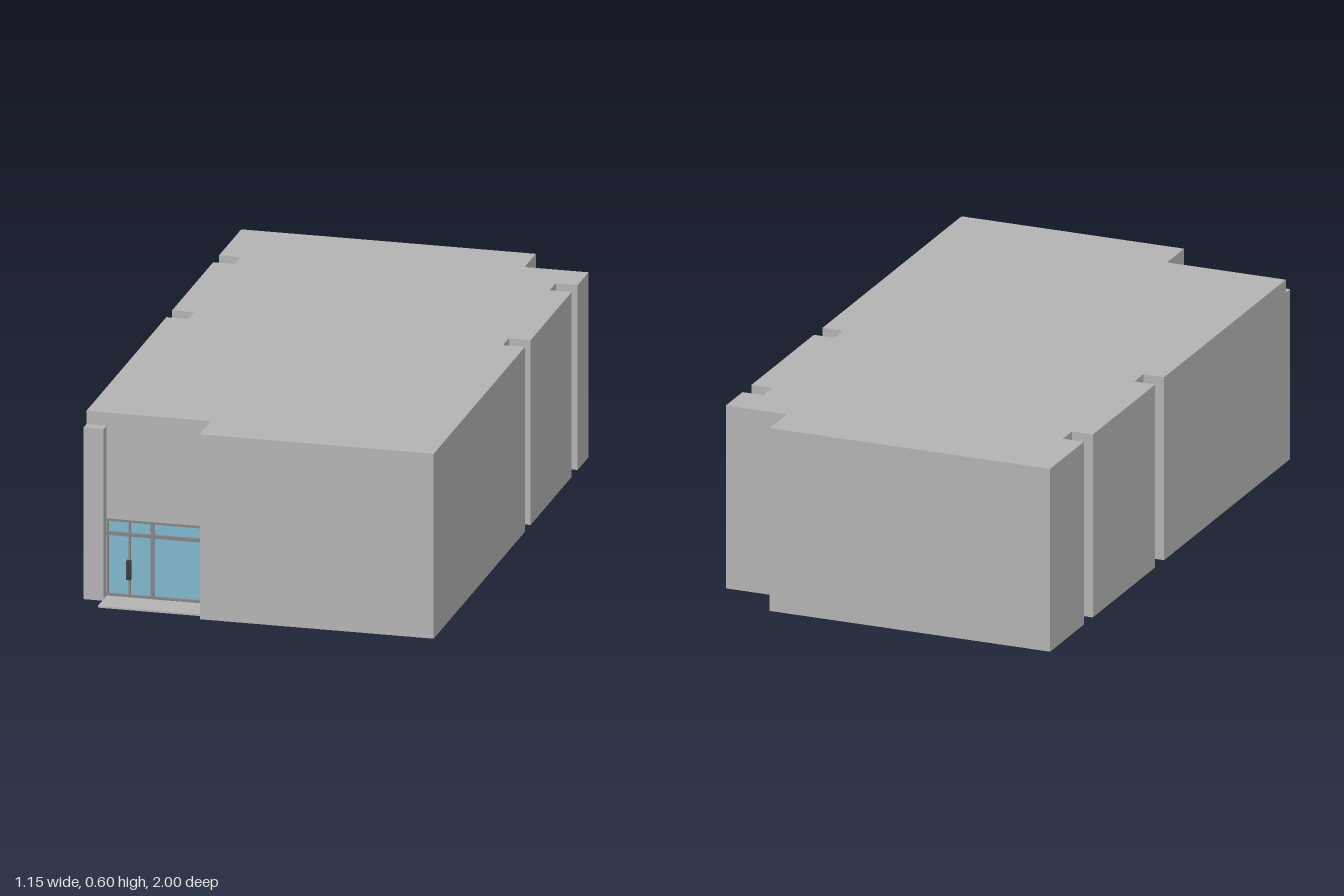
import * as THREE from 'three';

const HEIGHT = 0.603, WALL_TOP = 0.593, LINTEL = 0.258, THICK = 0.025;
const material = (name, color, side = THREE.FrontSide) => {
  const m = new THREE.MeshStandardMaterial({ color, side });
  m.name = name;
  return m;
};

// Plan of the building as [x, z], starting at the back left corner.
const OUTLINE = [
  [-0.575, -1], [0.37, -1], [0.37, -0.865], [0.575, -0.865],
  [0.575, -0.733], [0.505, -0.733], [0.505, -0.662], [0.575, -0.662],
  [0.575, -0.168], [0.505, -0.168], [0.505, -0.098], [0.575, -0.098],
  [0.575, 1], [-0.175, 1], [-0.175, 0.865], [-0.51, 0.865], [-0.575, 0.865],
  [-0.575, -0.098], [-0.505, -0.098], [-0.505, -0.168], [-0.575, -0.168],
  [-0.575, -0.662], [-0.505, -0.662], [-0.505, -0.733], [-0.575, -0.733],
];
const DOOR_EDGE = 14;

// Moves every corner of a right-angled plan inwards.
function inset(points, t) {
  const n = points.length;
  const normal = (i) => {
    const p = points[i], q = points[(i + 1) % n];
    return [-Math.sign(q[1] - p[1]), Math.sign(q[0] - p[0])];
  };
  return points.map(([x, z], i) => {
    const a = normal((i + n - 1) % n), b = normal(i);
    const straight = a[0] === b[0] && a[1] === b[1];
    return [x + t * (straight ? a[0] : a[0] + b[0]), z + t * (straight ? a[1] : a[1] + b[1])];
  });
}

// Upright skin along the plan, open over the entrance.
function skin(points) {
  const pos = [];
  points.forEach((p, i) => {
    const q = points[(i + 1) % points.length];
    const y = i === DOOR_EDGE ? LINTEL : 0;
    const a = [p[0], y, p[1]], b = [q[0], y, q[1]];
    const c = [q[0], WALL_TOP, q[1]], d = [p[0], WALL_TOP, p[1]];
    pos.push(...a, ...d, ...c, ...a, ...c, ...b);
  });
  const g = new THREE.BufferGeometry();
  g.setAttribute('position', new THREE.Float32BufferAttribute(pos, 3));
  g.computeVertexNormals();
  return g;
}

// Flat plate with the given plan and upper level.
function plate(points, top, depth) {
  const shape = new THREE.Shape(points.map(([x, z]) => new THREE.Vector2(x, z)));
  return new THREE.ExtrudeGeometry(shape, { depth, bevelEnabled: false })
    .rotateX(Math.PI / 2).translate(0, top, 0);
}

export function createModel() {
  const model = new THREE.Group();
  model.name = 'shopBuilding';
  const wall = material('wallGrey', 0xb3b3b3);
  const wallSkin = material('wallSkinGrey', 0xb3b3b3, THREE.DoubleSide);
  const frame = material('frameGrey', 0x868686);
  const glass = material('glassBlue', 0x7fb7cd);
  const dark = material('handleDark', 0x404040);

  const add = (parent, name, geometry, mat) => {
    const mesh = new THREE.Mesh(geometry, mat);
    mesh.name = name;
    parent.add(mesh);
  };
  const box = (parent, name, x0, x1, y0, y1, z0, z1, mat) =>
    add(parent, name, new THREE.BoxGeometry(x1 - x0, y1 - y0, z1 - z0)
      .translate((x0 + x1) / 2, (y0 + y1) / 2, (z0 + z1) / 2), mat);

  // Shell
  const inner = inset(OUTLINE, THICK);
  add(model, 'outerWalls', skin(OUTLINE), wallSkin);
  add(model, 'innerWalls', skin(inner), wallSkin);
  add(model, 'roof', plate(OUTLINE, HEIGHT, HEIGHT - WALL_TOP), wall);
  add(model, 'floor', plate(inner, 0.008, 0.008), wall);

  // Entrance step and side pillar
  box(model, 'entranceStep', -0.51, -0.175, 0, 0.006, 0.84, 0.97, wall);
  box(model, 'pillar', -0.575, -0.51, 0, 0.56, 0.865, 0.9, wall);

  // Glazed entrance
  const door = new THREE.Group();
  door.name = 'entrance';
  model.add(door);
  box(door, 'glass', -0.508, -0.177, 0.006, 0.255, 0.85, 0.856, glass);
  for (const [y0, y1] of [[0.002, 0.014], [0.204, 0.215], [0.25, LINTEL]])
    box(door, 'frameRail', -0.51, -0.175, y0, y1, 0.842, 0.864, frame);
  for (const [x0, x1] of [[-0.51, -0.505], [-0.441, -0.434], [-0.369, -0.358], [-0.18, -0.175]])
    box(door, 'framePost', x0, x1, 0.006, LINTEL, 0.843, 0.863, frame);
  for (const x of [-0.4415, -0.4335])
    box(door, 'handle', x - 0.003, x + 0.003, 0.065, 0.128, 0.862, 0.875, dark);

  return model;
}
